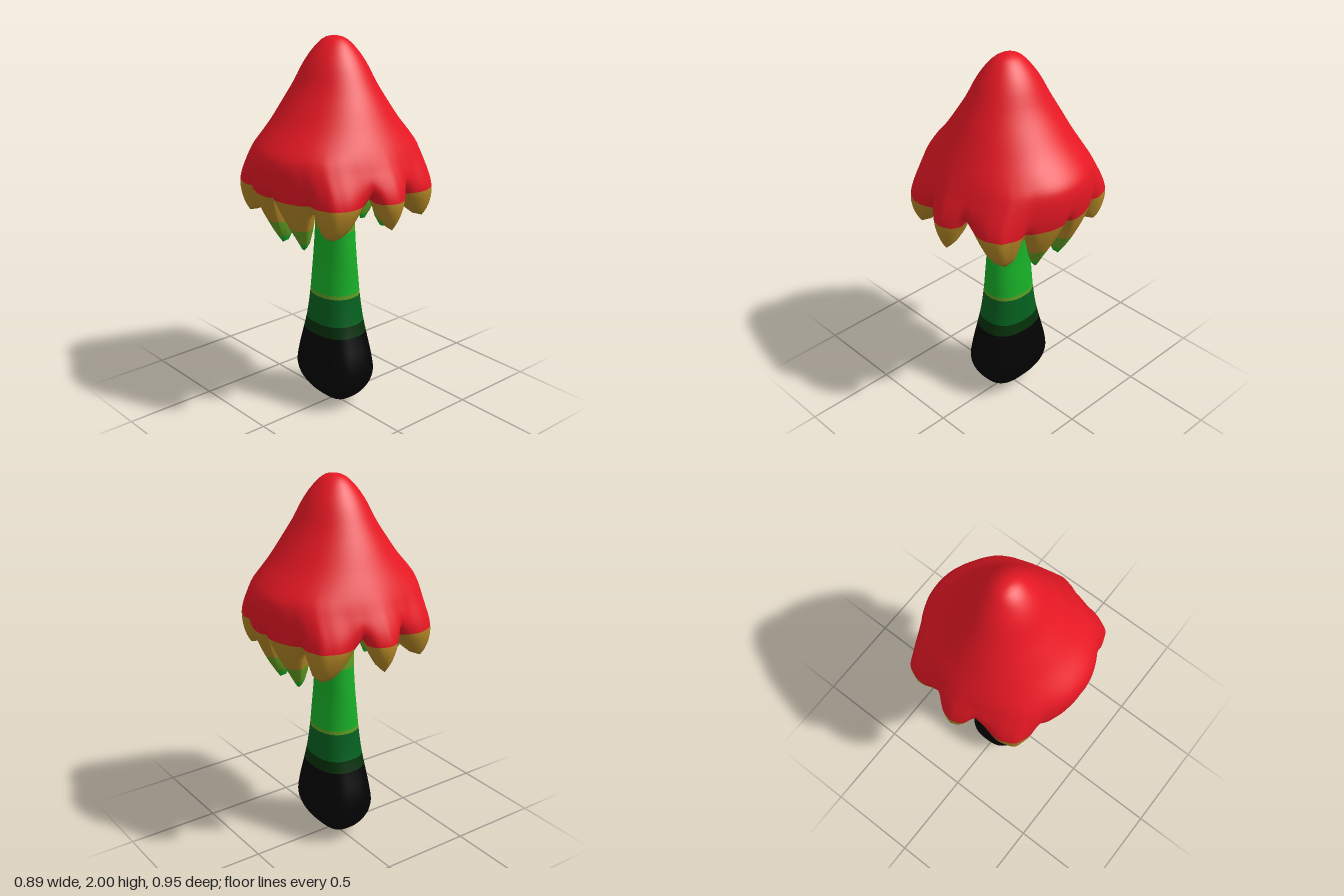
import * as THREE from 'three';
import { mergeVertices } from 'three/addons/utils/BufferGeometryUtils.js';

const mat = (name, color) => {
  const m = new THREE.MeshStandardMaterial({ color, side: THREE.DoubleSide });
  m.name = name;
  return m;
};

// Smooth closed tube surface from rings listed top to bottom
function loft(rings) {
  const n = rings[0].length, pos = [], idx = [];
  rings.forEach(ring => ring.forEach(p => pos.push(p.x, p.y, p.z)));
  for (let j = 0; j < rings.length - 1; j++) {
    for (let i = 0; i < n; i++) {
      const a = j * n + i, b = j * n + (i + 1) % n;
      idx.push(a, b, a + n, b, b + n, a + n);
    }
  }
  let g = new THREE.BufferGeometry();
  g.setAttribute('position', new THREE.Float32BufferAttribute(pos, 3));
  g.setIndex(idx);
  g = mergeVertices(g, 1e-5);
  g.computeVertexNormals();
  return g;
}

// Cut out the part of a surface between two heights, keeping its smooth normals
function slice(geo, low, high) {
  const P = geo.attributes.position, N = geo.attributes.normal, pos = [], nor = [];
  const clip = (poly, y, sign) => {
    const out = [];
    poly.forEach((a, i) => {
      const b = poly[(i + 1) % poly.length];
      const da = (a.p.y - y) * sign, db = (b.p.y - y) * sign;
      if (da >= 0) out.push(a);
      if (da * db < 0) {
        const t = da / (da - db);
        out.push({ p: a.p.clone().lerp(b.p, t), n: a.n.clone().lerp(b.n, t).normalize() });
      }
    });
    return out;
  };
  for (let i = 0; i < geo.index.count; i += 3) {
    let poly = [0, 1, 2].map(k => {
      const v = geo.index.getX(i + k);
      return { p: new THREE.Vector3().fromBufferAttribute(P, v), n: new THREE.Vector3().fromBufferAttribute(N, v) };
    });
    poly = clip(clip(poly, low, 1), high, -1);
    for (let k = 1; k < poly.length - 1; k++) {
      for (const v of [poly[0], poly[k], poly[k + 1]]) {
        pos.push(v.p.x, v.p.y, v.p.z);
        nor.push(v.n.x, v.n.y, v.n.z);
      }
    }
  }
  const g = new THREE.BufferGeometry();
  g.setAttribute('position', new THREE.Float32BufferAttribute(pos, 3));
  g.setAttribute('normal', new THREE.Float32BufferAttribute(nor, 3));
  return g;
}

function banded(name, geo, bands) {
  const group = new THREE.Group();
  group.name = name;
  for (const [part, low, high, material] of bands) {
    const mesh = new THREE.Mesh(slice(geo, low, high), material);
    mesh.name = part;
    group.add(mesh);
  }
  return group;
}

const curve = pts => new THREE.CatmullRomCurve3(pts.map(p => new THREE.Vector3(...p)));
const { lerp, smoothstep } = THREE.MathUtils;

// Quarter-turn table lookup, mirrored to all four quarters
function lookup(table, deg, col, soft) {
  let i = 0;
  while (i < table.length - 2 && deg > table[i + 1][0]) i++;
  const a = table[i], b = table[i + 1];
  const t = (deg - a[0]) / (b[0] - a[0]);
  return lerp(a[col], b[col], lerp(t, t * t * (3 - 2 * t), soft));
}

// angle from the side, bulge of the rim
const LOBES = [[0, 1], [13, 1.005], [21, 0.995], [29.5, 0.985], [40, 1.045], [46.5, 1.08],
  [53, 1.05], [66.5, 0.965], [76, 0.95], [83.5, 0.972], [90, 0.99]];
// angle from the side, height of the hem, how far it is drawn inward, how late it turns in
const HEM = [[0, 1.25, 0.9, 3], [10, 1.01, 0.68, 2.1], [15, 0.958, 0.65, 2], [20, 0.99, 0.68, 2.1],
  [31, 1.205, 0.86, 3], [39, 1.1, 0.9, 4], [44, 1.083, 0.9, 5], [50, 1.1, 0.9, 5], [74, 1.28, 0.89, 3],
  [86, 1.12, 0.9, 5], [90, 1.095, 0.89, 5]];

function capGeometry() {
  const N = 180, UP = 22, DOWN = 16;
  // crown profile: side radius, height, front radius
  const crown = curve([
    [0, 2, 0], [0.05, 1.985, 0.06], [0.1, 1.94, 0.108], [0.15, 1.87, 0.16], [0.2, 1.77, 0.215],
    [0.265, 1.67, 0.27], [0.33, 1.58, 0.316], [0.4, 1.5, 0.359], [0.435, 1.45, 0.386], [0.445, 1.4, 0.412]
  ]).getPoints(UP);
  const columns = [];
  for (let i = 0; i < N; i++) {
    const a = i / N * Math.PI * 2, c = Math.cos(a), s = Math.sin(a);
    const deg = Math.atan2(Math.abs(s), Math.abs(c)) * 180 / Math.PI;
    const lobe = lookup(LOBES, deg, 1, 0.5);
    const [hemY, hemR, late] = [1, 2, 3].map(k => lookup(HEM, deg, k, 0.5));
    const at = (rx, y, rz, k = 1) => {
      const f = k * lerp(1, lobe, 1 - smoothstep(y, 1.22, 1.55));
      return new THREE.Vector3(rx * c * f, y, rz * s * f);
    };
    const col = crown.map(p => at(p.x, p.y, p.z));
    // outer wall flowing down into the teeth
    for (let j = 1; j <= DOWN; j++) {
      const t = j / DOWN, y = lerp(1.4, hemY, t);
      const rz = 0.412 + 0.071 * Math.sin(Math.min((1.4 - y) / 0.2, 1) * Math.PI / 2);
      col.push(at(0.445, y, rz, lerp(1, hemR, t ** late)));
    }
    // rounded tip, inner wall and underside
    const tip = col[col.length - 1], r = Math.hypot(tip.x, tip.z);
    const inner = [[r * 0.9, hemY + 0.008], [r * 0.8, lerp(hemY, 1.34, 0.16)], [r * 0.71, lerp(hemY, 1.34, 0.4)],
      [r * 0.6, lerp(hemY, 1.34, 0.72)], [0.15, 1.32], [0.06, 1.34]];
    for (const [ri, y] of inner) col.push(new THREE.Vector3(tip.x * ri / r, y, tip.z * ri / r));
    columns.push(col);
  }
  return loft(columns[0].map((_, j) => columns.map(col => col[j])));
}

function stemGeometry() {
  const N = 64;
  // stem profile: side radius, height, front radius
  const rows = curve([
    [0.1, 1.36, 0.1], [0.1, 1.25, 0.105], [0.096, 1.1, 0.113], [0.092, 0.98, 0.119], [0.098, 0.85, 0.129],
    [0.11, 0.74, 0.134], [0.119, 0.63, 0.14], [0.13, 0.5, 0.157], [0.142, 0.4, 0.18], [0.157, 0.28, 0.21],
    [0.165, 0.2, 0.219], [0.15, 0.14, 0.205], [0.115, 0.08, 0.166], [0.07, 0.033, 0.108], [0.03, 0.008, 0.05], [0, 0, 0]
  ]).getPoints(64);
  // round at the neck, squarer towards the base
  const round = (v, e) => Math.sign(v) * Math.abs(v) ** e;
  return loft(rows.map(p => Array.from({ length: N }, (_, i) => {
    const a = i / N * Math.PI * 2, e = lerp(0.75, 0.95, smoothstep(p.y, 0.25, 0.8));
    return new THREE.Vector3(p.x * round(Math.cos(a), e), p.y, p.z * round(Math.sin(a), e));
  })));
}

export function createModel() {
  const red = mat('cap red', 0xe81824), gold = mat('tooth gold', 0xb08424);
  const olive = mat('stem olive', 0xa29824), lime = mat('lime green', 0x609c22);
  const green = mat('bright green', 0x18b028), forest = mat('forest green', 0x04601f);
  const dark = mat('dark green', 0x05300a), black = mat('black', 0x030303);

  const model = new THREE.Group();
  model.name = 'mushroom';
  model.add(banded('cap', capGeometry(), [
    ['crown', 1.245, 2.1, red],
    ['upperTeeth', 1.09, 1.245, gold],
    ['lowerTeeth', 1.0, 1.09, lime],
    ['toothTips', 0.9, 1.0, green]
  ]));
  model.add(banded('stem', stemGeometry(), [
    ['stemTop', 1.245, 1.5, red],
    ['stemCollar', 1.09, 1.245, olive],
    ['stemNeck', 1.0, 1.09, lime],
    ['stemMiddle', 0.658, 1.0, green],
    ['stemRing', 0.638, 0.658, lime],
    ['stemLower', 0.488, 0.638, forest],
    ['stemDarkBand', 0.425, 0.488, dark],
    ['stemBase', -0.1, 0.425, black]
  ]));
  return model;
}
